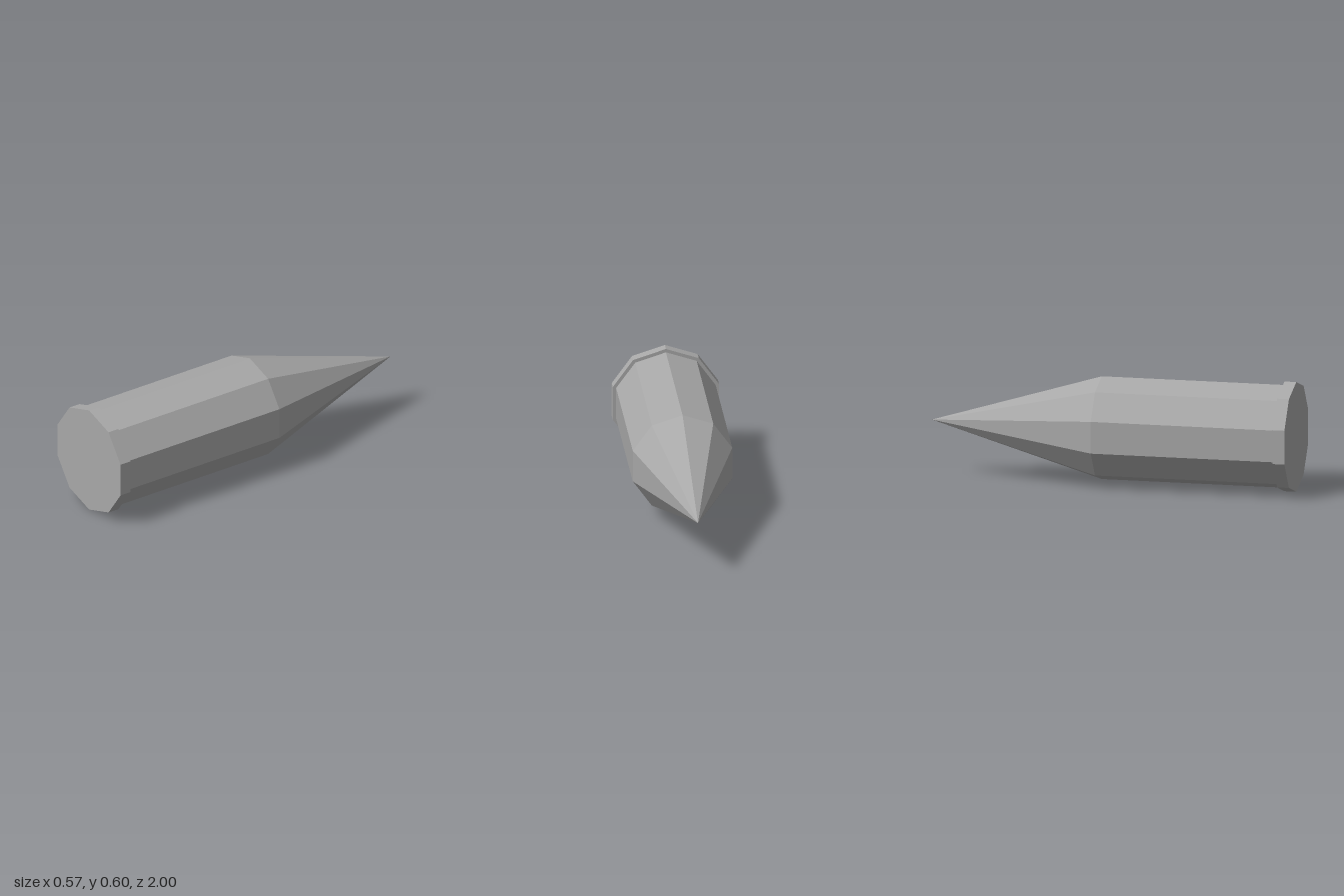
import * as THREE from 'three';

const SIDES = 10;
const AXIS_HEIGHT = 0.3;

export function createModel() {
  const group = new THREE.Group();
  group.name = 'bullet';

  const grey = new THREE.MeshStandardMaterial({ color: 0xa8a8a8, flatShading: true });
  grey.name = 'grey metal';

  // Ten-sided section lying along z, from zFront back to zBack
  function section(name, frontRadius, backRadius, zFront, zBack, open) {
    const geometry = new THREE.CylinderGeometry(
      backRadius, frontRadius, zFront - zBack, SIDES, 1, open);
    geometry.rotateX(-Math.PI / 2);
    const mesh = new THREE.Mesh(geometry, grey);
    mesh.name = name;
    mesh.position.set(0, AXIS_HEIGHT, (zFront + zBack) / 2);
    group.add(mesh);
  }

  section('baseRim', 0.3, 0.3, 1, 0.935, false);
  section('casing', 0.281, 0.281, 0.935, -0.067, true);
  section('pointedTip', 0.281, 0, -0.067, -1, true);

  return group;
}
